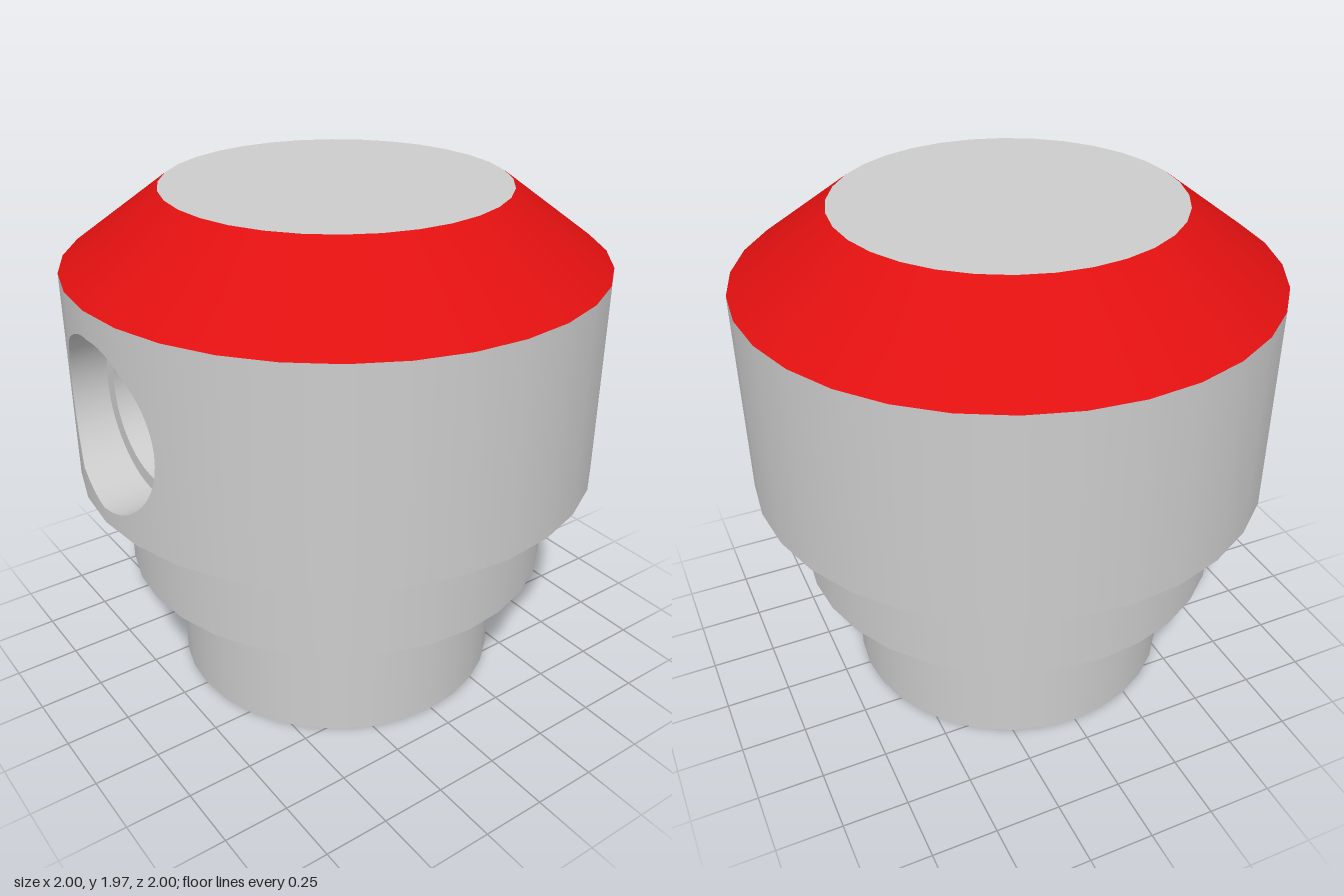
import * as THREE from 'three';
import { mergeGeometries } from 'three/addons/utils/BufferGeometryUtils.js';
import { ParametricGeometry } from 'three/addons/geometries/ParametricGeometry.js';

const SIDES = 32;
const HALF = Math.PI / 8; // half angle of the front panel that holds the bore
const BODY = { low: 0.9, high: 1.7 };
const BORE = { y: 1.28, r: 0.32 };

// Revolved profile, each segment with its own crisp edge
function revolve(profile, sides = SIDES, start = 0, sweep = Math.PI * 2) {
  const bands = [];
  for (let i = 0; i < profile.length - 1; i++) {
    const pts = [profile[i], profile[i + 1]].map(([r, y]) => new THREE.Vector2(r, y));
    bands.push(new THREE.LatheGeometry(pts, sides, start, sweep));
  }
  return mergeGeometries(bands);
}

// Depth of the many-sided body wall at a given x
function wallZ(x) {
  const step = (Math.PI * 2) / SIDES;
  const i = Math.min(Math.floor(Math.asin(Math.min(Math.abs(x), 1)) / step + 1e-6), 7);
  const a = i * step, b = a + step;
  const t = (Math.abs(x) - Math.sin(a)) / (Math.sin(b) - Math.sin(a));
  return THREE.MathUtils.lerp(Math.cos(a), Math.cos(b), t);
}

// Point on the panel outline, counterclockwise from the lower right corner
function outline(u) {
  const side = Math.min(Math.floor(u * 4), 3);
  const t = u * 4 - side;
  const w = Math.sin(HALF), h = BODY.high - BODY.low;
  if (side === 0) return [w, BODY.low + h * t];
  if (side === 1) return [Math.sin(HALF * (1 - 2 * t)), BODY.high];
  if (side === 2) return [-w, BODY.high - h * t];
  return [Math.sin(HALF * (2 * t - 1)), BODY.low];
}

// Matching point on the rim of the bore
function rim(u) {
  const [x, y] = outline(u);
  const a = Math.atan2(y - BORE.y, x);
  return [BORE.r * Math.cos(a), BORE.y + BORE.r * Math.sin(a)];
}

export function createModel() {
  const model = new THREE.Group();
  const grey = new THREE.MeshStandardMaterial({ color: 0xcccccc });
  const red = new THREE.MeshStandardMaterial({ color: 0xe01010 });
  const add = (name, geometry, material = grey) => {
    const mesh = new THREE.Mesh(geometry, material);
    mesh.name = name;
    model.add(mesh);
    return mesh;
  };

  // Stepped stem and underside of the body
  add('stem', revolve([[0, 0], [0.645, 0], [0.645, 0.5]]));
  add('collar', revolve([[0.645, 0.5], [0.83, 0.5], [0.83, BODY.low]]));
  add('bodyUnderside', revolve([[0.83, BODY.low], [1, BODY.low]]));

  // Body wall, open at the front
  add('bodyWall', revolve([[1, BODY.low], [1, BODY.high]], SIDES - 4, HALF, Math.PI * 2 - 2 * HALF));

  // Front panel of the wall with a round opening
  const panel = new ParametricGeometry((u, v, p) => {
    const [ox, oy] = outline(u), [rx, ry] = rim(u);
    const x = THREE.MathUtils.lerp(ox, rx, v);
    p.set(x, THREE.MathUtils.lerp(oy, ry, v), wallZ(x));
  }, 64, 8);
  const pos = panel.attributes.position, n = new THREE.Vector3();
  for (let i = 0; i < pos.count; i++) {
    n.set(pos.getX(i), 0, pos.getZ(i)).normalize();
    panel.attributes.normal.setXYZ(i, n.x, n.y, n.z);
  }
  add('frontPanel', panel);

  // Bore: curved mouth, then steps narrowing to a flat floor
  const z1 = 0.805, z2 = 0.665, z3 = 0.58;
  add('boreMouth', new ParametricGeometry((u, v, p) => {
    const [x, y] = rim(u);
    p.set(x, y, THREE.MathUtils.lerp(wallZ(x), z1, v));
  }, 64, 2));
  const steps = revolve([[BORE.r, z1], [0.265, z1], [0.265, z2], [0.205, z2], [0.205, z3], [0, z3]], 64);
  add('boreSteps', steps.rotateX(Math.PI / 2)).position.y = BORE.y;

  // Sloped coloured ring and flat top
  add('slopedRing', revolve([[1, BODY.high], [0.635, 1.97]]), red);
  add('topFace', revolve([[0.635, 1.97], [0, 1.97]]));

  return model;
}
